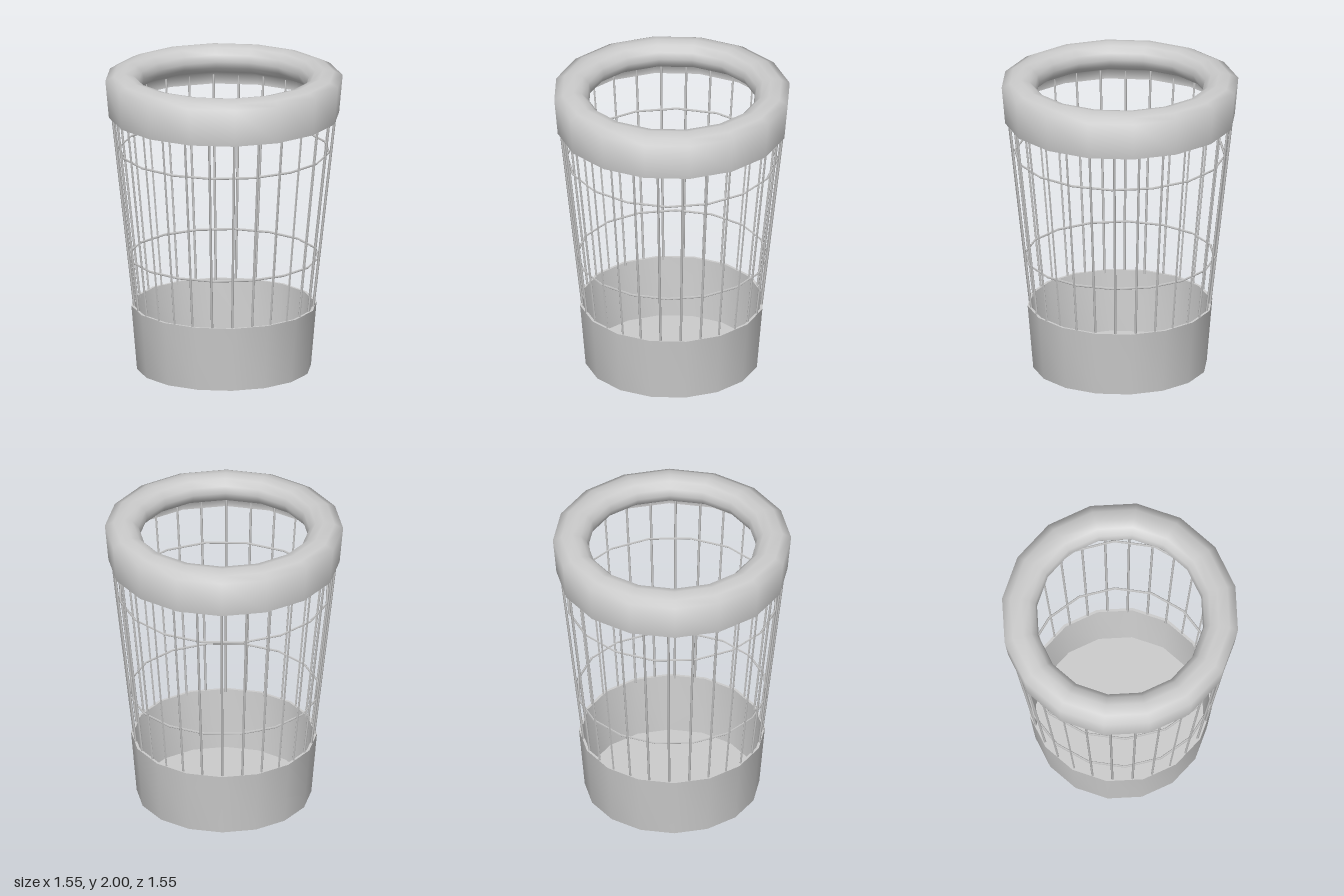
import * as THREE from 'three';
import { toCreasedNormals } from 'three/addons/utils/BufferGeometryUtils.js';

const SIDES = 16;
const RODS = 28;

const material = new THREE.MeshStandardMaterial({ color: 0xcccccc, side: THREE.DoubleSide });

function addMesh(parent, name, geometry) {
  const mesh = new THREE.Mesh(geometry, material);
  mesh.name = name;
  parent.add(mesh);
  return mesh;
}

// Revolve a [radius, height] profile into a 16-sided part
function turned(profile, crease) {
  const points = profile.map(([r, y]) => new THREE.Vector2(r, y));
  return toCreasedNormals(new THREE.LatheGeometry(points, SIDES), crease);
}

export function createModel() {
  const bin = new THREE.Group();
  bin.name = 'wireBin';

  // Tapered cup at the bottom: floor, outer wall, lip, inner wall, inner floor
  addMesh(bin, 'baseCup', turned([
    [0, 0], [0.568, 0], [0.605, 0.43], [0.588, 0.43], [0.552, 0.02], [0, 0.02],
  ], 0.7));

  // Rounded collar with a short skirt around the opening
  addMesh(bin, 'topCollar', turned([
    [0.752, 1.705], [0.775, 1.955], [0.72, 1.983], [0.65, 2.0], [0.595, 1.987],
    [0.557, 1.95], [0.545, 1.905], [0.56, 1.86], [0.61, 1.82], [0.74, 1.765],
    [0.738, 1.705], [0.752, 1.705],
  ], 1.3));

  // Slanted upright rods between cup and collar
  const rods = new THREE.Group();
  rods.name = 'uprightRods';
  bin.add(rods);
  const bottom = new THREE.Vector3(0, 0.41, 0.584);
  const top = new THREE.Vector3(0, 1.8, 0.738);
  const direction = top.clone().sub(bottom);
  const rodGeometry = new THREE.CylinderGeometry(0.008, 0.008, direction.length(), 4);
  rodGeometry.applyQuaternion(new THREE.Quaternion().setFromUnitVectors(
    new THREE.Vector3(0, 1, 0), direction.clone().normalize()));
  const middle = bottom.clone().add(top).multiplyScalar(0.5);
  rodGeometry.translate(middle.x, middle.y, middle.z);
  for (let i = 0; i < RODS; i++) {
    addMesh(rods, 'uprightRod', rodGeometry).rotation.y = (i / RODS) * Math.PI * 2;
  }

  // Two horizontal hoops tying the rods together
  for (const [name, radius, y] of [['lowerHoop', 0.618, 0.755], ['upperHoop', 0.685, 1.468]]) {
    const hoop = addMesh(bin, name, new THREE.TorusGeometry(radius, 0.008, 4, SIDES));
    hoop.rotation.set(Math.PI / 2, 0, Math.PI / SIDES);
    hoop.position.y = y;
  }

  return bin;
}
